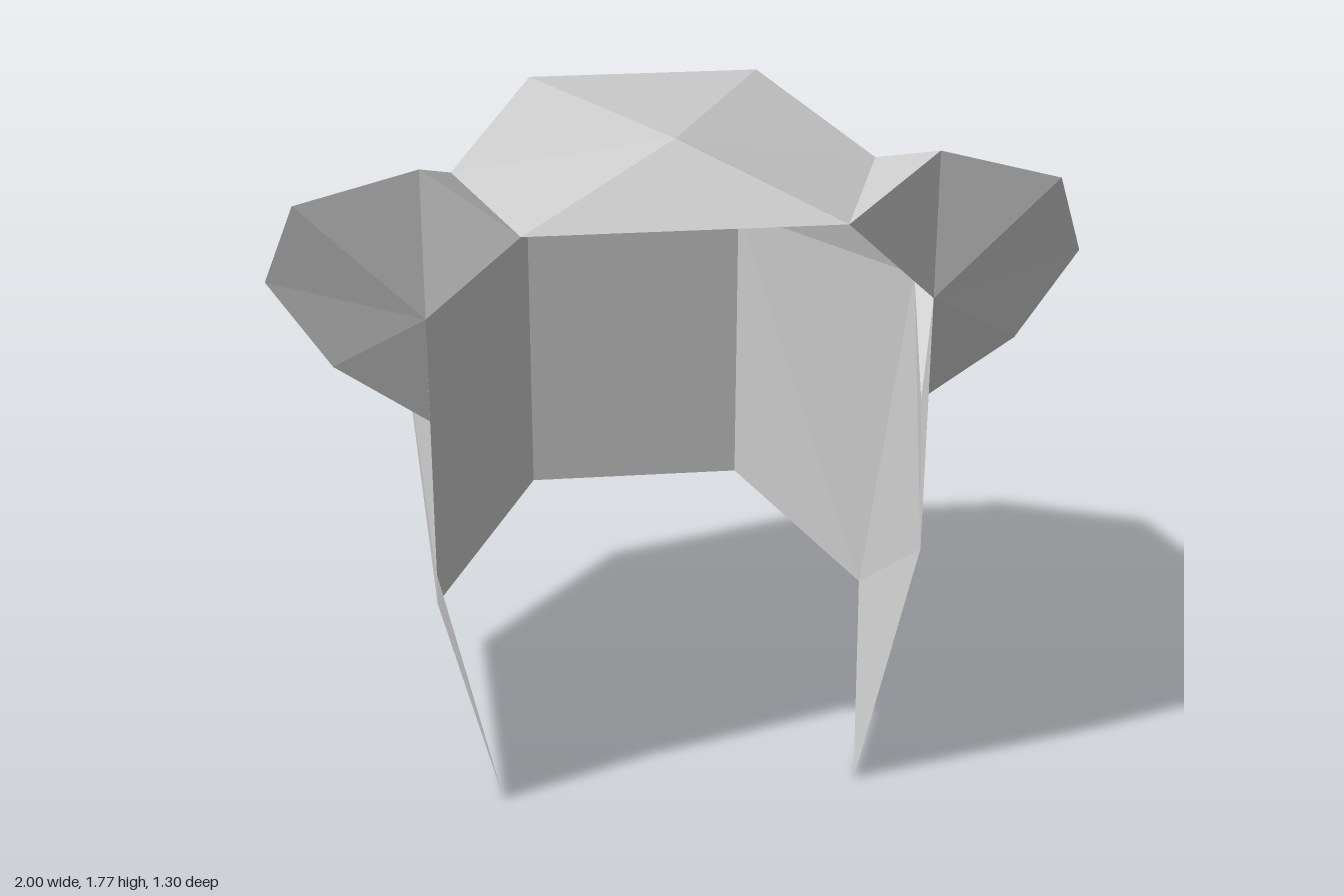
import * as THREE from 'three';

// Named corner points of the left (+x) half
const P = {
  apex: [0, 1.77, 0.42],
  brow: [0.39, 1.62, 0.65],
  temple: [0.54, 1.62, 0.19],
  crownBack: [0.31, 1.69, -0.35],
  napeTop: [0.31, 1.16, -0.65],
  napeLow: [0.31, 0.31, -0.65],
  side: [0.69, 1.23, 0.04],
  hem: [0.62, 0.16, -0.19],
  tip: [0.47, 0, 0.58],
  cheek: [0.62, 0.69, 0.58],
  earRoot: [0.62, 1.39, 0.58],
  ear0: [0.62, 1.77, 0.575],
  ear1: [0.92, 1.69, 0.575],
  ear2: [1.0, 1.47, 0.5],
  ear3: [0.85, 1.24, 0.5],
  ear4: [0.62, 1.08, 0.5],
};

// A leading minus means the mirrored point
function point(name) {
  if (name[0] !== '-') return P[name];
  const [x, y, z] = P[name.slice(1)];
  return [-x, y, z];
}

// Flat-faced sheet from faces written as lists of corner names
function sheet(name, faces, material, mirror = false) {
  const pos = [];
  for (const face of faces) {
    const c = face.split(' ').map(point);
    for (let i = 1; i < c.length - 1; i++) {
      const tri = [c[0], c[i], c[i + 1]];
      if (mirror) tri.reverse();
      for (const [x, y, z] of tri) pos.push(mirror ? -x : x, y, z);
    }
  }
  const geo = new THREE.BufferGeometry();
  geo.setAttribute('position', new THREE.Float32BufferAttribute(pos, 3));
  geo.computeVertexNormals();
  const mesh = new THREE.Mesh(geo, material);
  mesh.name = name;
  return mesh;
}

export function createModel() {
  const group = new THREE.Group();
  group.name = 'earedHood';
  const grey = new THREE.MeshStandardMaterial({ color: 0xcccccc, side: THREE.DoubleSide, flatShading: true });
  grey.name = 'light grey';

  // Faceted top of the hood
  group.add(sheet('crown', [
    'apex -brow brow',
    'apex brow temple', 'apex temple crownBack',
    'apex crownBack -crownBack',
    'apex -temple -brow', 'apex -crownBack -temple',
  ], grey));

  // Sloped and upright back panels
  group.add(sheet('backPanel', [
    'crownBack napeTop -napeTop -crownBack',
    'napeTop napeLow -napeLow -napeTop',
  ], grey));

  const sideFaces = [
    'temple side crownBack', 'crownBack side napeTop',
    'side hem napeTop', 'hem napeLow napeTop',
    'cheek hem side', 'cheek tip hem',
    'cheek side ear4', 'earRoot cheek ear4',
  ];

  // Hollow ear: a front fan from the root and a back fan from the side point
  const earFaces = [
    'brow ear0 temple', 'temple ear0 ear1', 'temple ear1 side',
    'brow earRoot ear0',
  ];
  for (let i = 0; i < 4; i++) {
    earFaces.push(`earRoot ear${i + 1} ear${i}`);
    if (i > 0) earFaces.push(`side ear${i} ear${i + 1}`);
  }

  for (const [label, mirror] of [['left', false], ['right', true]]) {
    group.add(sheet(label + 'Side', sideFaces, grey, mirror));
    group.add(sheet(label + 'Ear', earFaces, grey, mirror));
  }
  return group;
}
